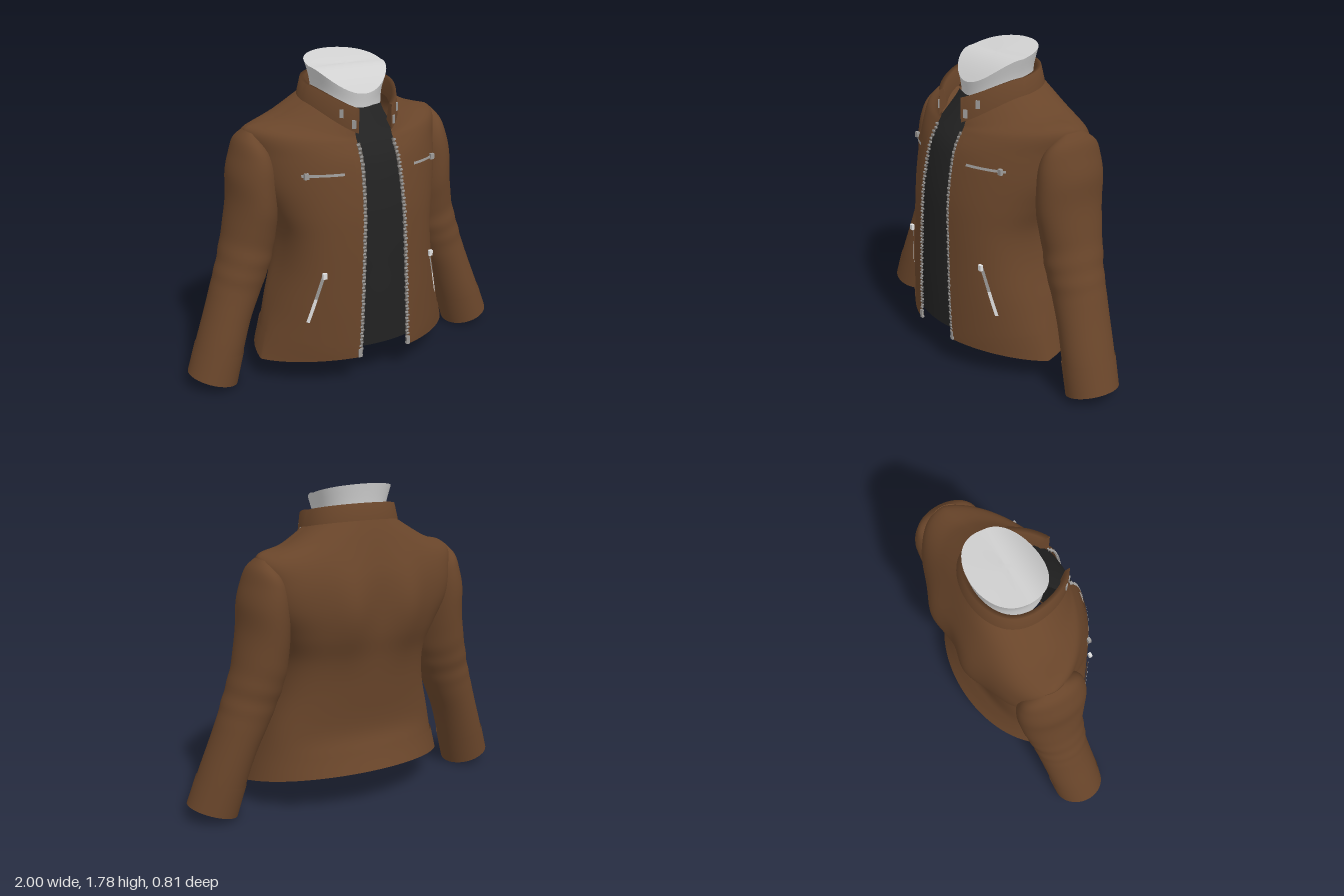
import * as THREE from 'three';
import { mergeVertices } from 'three/addons/utils/BufferGeometryUtils.js';

const mat = (name, color) => new THREE.MeshStandardMaterial({ name, color, side: THREE.DoubleSide });
const V = (x, y, z) => new THREE.Vector3(x, y, z);
const lerp = THREE.MathUtils.lerp;

// Surface through fn(i/n, j/m); i runs along the rows, j around them
function grid(n, m, fn) {
  const pos = [], idx = [];
  for (let i = 0; i <= n; i++) for (let j = 0; j <= m; j++) pos.push(...fn(i / n, j / m).toArray());
  for (let i = 0; i < n; i++) for (let j = 0; j < m; j++) {
    const a = i * (m + 1) + j, b = a + m + 1;
    idx.push(a, a + 1, b + 1, a, b + 1, b);
  }
  const g = new THREE.BufferGeometry();
  g.setAttribute('position', new THREE.Float32BufferAttribute(pos, 3));
  g.setIndex(idx);
  const merged = mergeVertices(g, 1e-5);
  merged.computeVertexNormals();
  return merged;
}

// Smooth blend between neighbouring cross-section rows
function blend(rows, v) {
  const last = rows.length - 1, i = Math.min(Math.floor(v), last - 1), f = v - i;
  const [a, b, c, d] = [i - 1, i, i + 1, i + 2].map(k => rows[Math.max(0, Math.min(last, k))]);
  return b.map((p, k) => p + 0.5 * f * (c[k] - a[k] + f * (2 * a[k] - 5 * p + 4 * c[k] - d[k] + f * (3 * (p - c[k]) + d[k] - a[k]))));
}

// Cross-section row: half width, y front/side/back, z front/side/back, front and back fullness
const TORSO = [
  [0.605, 0.18, 0.14, 0.23, 0.415, 0.07, -0.365, 1.6, 0.95],
  [0.565, 0.235, 0.29, 0.33, 0.415, 0.05, -0.32, 1.2, 0.85],
  [0.52, 0.45, 0.45, 0.45, 0.415, 0.01, -0.285, 0.88, 0.75],
  [0.458, 0.67, 0.67, 0.67, 0.41, 0.0, -0.305, 0.65, 0.7],
  [0.445, 0.85, 0.85, 0.85, 0.405, -0.01, -0.33, 0.62, 0.65],
  [0.49, 1.0, 1.0, 1.0, 0.397, -0.03, -0.36, 0.8, 0.55],
  [0.55, 1.15, 1.15, 1.15, 0.375, -0.06, -0.37, 1.05, 0.48],
  [0.575, 1.28, 1.3, 1.28, 0.343, -0.08, -0.365, 1.2, 0.55],
  [0.588, 1.36, 1.428, 1.38, 0.3, -0.09, -0.345, 1.35, 0.85],
  [0.42, 1.39, 1.474, 1.51, 0.285, -0.06, -0.3, 1.2, 0.85],
  [0.27, 1.41, 1.555, 1.6, 0.288, -0.02, -0.26, 1.2, 0.8],
];
const COLLAR = [
  [0.275, 1.395, 1.555, 1.6, 0.312, -0.02, -0.265, 1.2, 0.8],
  [0.255, 1.535, 1.645, 1.69, 0.318, -0.02, -0.245, 1.2, 0.8],
  [0.23, 1.53, 1.64, 1.685, 0.292, -0.02, -0.22, 1.2, 0.8],
  [0.23, 1.44, 1.54, 1.6, 0.27, -0.02, -0.235, 1.2, 0.8],
];
const NECK = [
  [0.19, 1.46, 1.5, 1.56, 0.165, -0.03, -0.215, 1, 0.8],
  [0.195, 1.54, 1.62, 1.68, 0.17, -0.03, -0.22, 1, 0.8],
  [0.228, 1.6, 1.735, 1.79, 0.178, -0.03, -0.235, 1, 0.8],
];

// Point on a row at angle t (0 = front, PI = back)
function ringPoint([w, yF, yS, yB, zf, zs, zb, eF, eB], t) {
  const c = Math.cos(t), k = Math.abs(c), x = w * Math.sin(t);
  if (c > 0) return V(x, yS + (yF - yS) * k * k, zs + (zf - zs) * k ** eF);
  const y = yS + (yB - yS) * k ** 0.8;
  // shoulder blades
  const blade = 0.04 * Math.exp(-(((Math.abs(x) - 0.18) / 0.11) ** 2) - ((y - 1.13) / 0.22) ** 2);
  return V(x, y, zs + (zb - zs) * k ** eB - blade);
}
// Open ring from the left front edge, round the back, to the right front edge
function openRing(row, u, edgeX) {
  const t0 = Math.asin(edgeX / row[0]);
  return ringPoint(row, lerp(t0, 2 * Math.PI - t0, u));
}
const edgeAt = y => 0.155 - 0.045 * (y - 0.2) / 1.2;

// Point on the jacket front at a given x and y
function surf(x, y, off = 0) {
  let lo = 0, hi = TORSO.length - 1, p;
  for (let k = 0; k < 30; k++) {
    const v = (lo + hi) / 2, row = blend(TORSO, v);
    p = ringPoint(row, Math.asin(Math.max(-1, Math.min(1, x / row[0]))));
    if (p.y < y) lo = v; else hi = v;
  }
  p.z += off;
  return p;
}
// Thin strip lying on the jacket front from (x0, y0) to (x1, y1)
function ribbon([x0, y0], [x1, y1], width, off) {
  const L = Math.hypot(x1 - x0, y1 - y0), nx = -(y1 - y0) / L * width, ny = (x1 - x0) / L * width;
  return grid(24, 2, (i, j) => surf(lerp(x0, x1, i) + nx * (0.5 - j), lerp(y0, y1, i) + ny * (0.5 - j), off));
}

// Sleeve row: inner x, y, outer x, y, z front, z back
const SLEEVE = [
  [0.53, 1.39, 0.595, 1.42, -0.02, -0.16],
  [0.475, 1.31, 0.635, 1.37, 0.065, -0.245],
  [0.445, 1.22, 0.662, 1.295, 0.105, -0.275],
  [0.435, 1.1, 0.69, 1.19, 0.12, -0.285],
  [0.44, 0.95, 0.7, 1.04, 0.12, -0.275],
  [0.455, 0.8, 0.74, 0.84, 0.095, -0.255],
  [0.49, 0.67, 0.785, 0.69, 0.095, -0.23],
  [0.545, 0.54, 0.825, 0.57, 0.09, -0.215],
  [0.62, 0.38, 0.87, 0.44, 0.1, -0.2],
  [0.675, 0.22, 0.93, 0.28, 0.115, -0.185],
  [0.735, 0.015, 0.995, 0.1, 0.125, -0.165],
];
function sleevePoint(v, u, s, scale = 1) {
  const [xi, yi, xo, yo, zf, zb] = blend(SLEEVE, v), a = u * 2 * Math.PI;
  // soft folds at the elbow
  const fold = 1 + 0.015 * Math.sin(v * 7 + Math.cos(a) * 1.5) * Math.exp(-((v - 5.8) ** 2));
  const c = Math.cos(a) * 0.5 * scale * fold, d = Math.sin(a) * 0.5 * scale * fold * s;
  return V(s * ((xi + xo) / 2 + (xo - xi) * c), (yi + yo) / 2 + (yo - yi) * c, (zf + zb) / 2 + (zf - zb) * d);
}

export function createModel() {
  const leather = mat('brown leather', 0x69452a);
  const cloth = mat('black cloth', 0x222222);
  const skin = mat('grey neck', 0xd0d0d0);
  const metal = mat('zip metal', 0x9c9a98);
  const bright = mat('bright metal', 0xe0e0e0);
  const tape = mat('zip tape', 0x5c5752);
  const model = new THREE.Group();
  const add = (name, geo, m, parent = model) => {
    const mesh = new THREE.Mesh(geo, m);
    mesh.name = name;
    parent.add(mesh);
    return mesh;
  };

  // Jacket body and hem band
  const top = TORSO.length - 1;
  add('jacketBody', grid(66, 112, (i, j) => {
    const row = blend(TORSO, i * top);
    return openRing(row, j, edgeAt(row[1]));
  }), leather);
  add('hemBand', grid(6, 112, (i, j) => {
    const row = blend(TORSO, i);
    row[0] += 0.006; row[4] += 0.005; row[6] -= 0.012;
    return openRing(row, j, edgeAt(row[1]));
  }), leather);

  // Standing collar with thickness and closed front ends
  const collarPoint = (k, u) => openRing(COLLAR[k], u, 0.1);
  add('collar', grid(3, 72, (i, j) => collarPoint(Math.round(i * 3), j)), leather);
  for (const u of [0, 1]) {
    add('collarEnd', grid(1, 1, (i, j) => collarPoint(i ? (j ? 2 : 1) : (j ? 3 : 0), u)), leather);
  }

  // Neck with a slanted, curved top
  const rim = NECK[2];
  add('neck', grid(10, 48, (i, j) => ringPoint(blend(NECK, i * 2), j * 2 * Math.PI)), skin);
  add('neckTop', grid(8, 48, (i, j) => {
    const p = ringPoint(rim, j * 2 * Math.PI), r = 1 - i;
    return V(p.x * r, lerp(rim[2], p.y, r ** (p.z > rim[5] ? 2 : 0.8)), lerp(rim[5], p.z, r));
  }), skin);

  // Shirt front, curving back to the neck at the top
  add('shirt', grid(40, 24, (i, j) => {
    const y = lerp(0.235, 1.53, i), k = Math.max(0, (y - 1.34) / 0.19);
    const x = (j * 2 - 1) * lerp(0.25, 0.125, Math.max(0, Math.min(1, (y - 1.1) / 0.4)));
    const z = surf(x, Math.min(y, 1.34), -0.015).z;
    return V(x, y, lerp(z, 0.165 - x * x * 2, k));
  }), cloth);

  for (const s of [1, -1]) {
    // Sleeve, cuff and closed end
    const arm = new THREE.Group();
    arm.name = s > 0 ? 'leftSleeve' : 'rightSleeve';
    model.add(arm);
    const end = SLEEVE.length - 1;
    add('sleeve', grid(70, 36, (i, j) => sleevePoint(i * end, j, s)), leather, arm);
    add('sleeveHead', grid(3, 36, (i, j) => sleevePoint(0, j, s, i)), leather, arm);
    add('cuff', grid(6, 36, (i, j) => sleevePoint(end - 0.85 + 0.85 * i, j, s, 1.03)), leather, arm);
    add('cuffEnd', grid(3, 36, (i, j) => sleevePoint(end, j, s, 1.03 * (1 - i))), leather, arm);

    // Front zip along the opening: tape, teeth and a stop at the bottom
    add('zipTape', ribbon([s * 0.152, 0.2], [s * 0.107, 1.37], 0.02, 0.002), tape);
    for (let k = 0; k < 62; k++) {
      const y = 0.19 + k * 0.0192;
      const tooth = add('zipTooth', new THREE.BoxGeometry(0.018, 0.009, 0.01), metal);
      tooth.position.copy(surf(s * (edgeAt(y) - 0.004 + (k % 2) * 0.006), y, 0.003));
    }
    const stop = add('zipStop', new THREE.BoxGeometry(0.02, 0.05, 0.012), metal);
    stop.position.copy(surf(s * 0.158, 0.205, 0.005));

    // Placket beside the zip
    add('placket', ribbon([s * 0.177, 0.2], [s * 0.135, 1.37], 0.03, 0.008), leather);

    // Chest and side pockets: trim, zip and pull
    const pockets = [
      ['chestPocket', [s * 0.2, 1.225], [s * 0.43, 1.215], 0.048, 0.85],
      ['sidePocket', [s * 0.335, 0.7], [s * 0.425, 0.38], 0.038, 0.07],
    ];
    for (const [name, a, b, width, pullAt] of pockets) {
      const inset = f => [lerp(a[0], b[0], f), lerp(a[1], b[1], f)];
      const side = name === 'sidePocket';
      add(name + 'Trim', ribbon(a, b, width, 0.009), leather);
      add(name + 'Zip', ribbon(inset(0.07), inset(side ? 0.5 : 0.93), 0.014, 0.015), metal);
      if (side) {
        // bright lower run, and the zip showing on the lining
        add('sidePocketLowerZip', ribbon(inset(0.5), inset(0.93), 0.014, 0.015), bright);
        add('liningZip', ribbon(inset(0.07), inset(0.5), 0.014, -0.006), metal);
        add('liningLowerZip', ribbon(inset(0.5), inset(0.93), 0.014, -0.006), bright);
      }
      const pull = add(name + 'Pull', new THREE.BoxGeometry(0.024, 0.032, 0.018), side ? bright : metal);
      pull.position.copy(surf(...inset(pullAt), 0.022));
    }

    // Collar snaps, set on the collar face at height f
    for (const [x, f] of [[0.122, 0.3], [0.17, 0.5]]) {
      const [low, high] = COLLAR.map(row => ringPoint(row, Math.asin(s * x / row[0])));
      const snap = add('collarSnap', new THREE.BoxGeometry(0.022, 0.045, 0.012), metal);
      snap.position.lerpVectors(low, high, f);
      snap.rotation.y = s * 0.75;
    }
  }
  return model;
}
